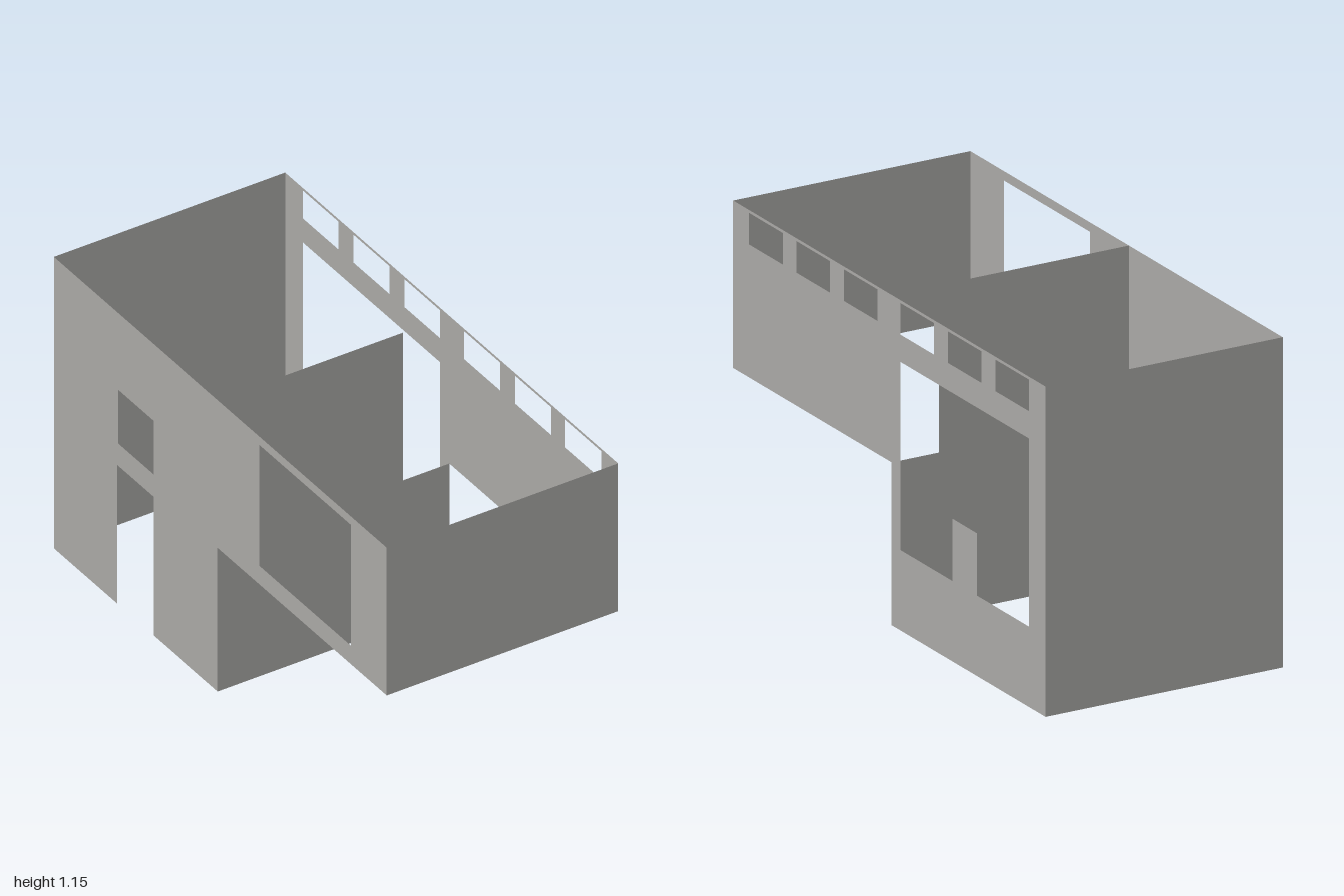
import * as THREE from 'three';

const HALF = 0.449;   // half the width of the house
const TOP = 1.15;     // wall top
const MID = 0.567;    // underside of the raised front half
const STEP = -0.015;  // z of the middle partition

const rect = (a, b, y0, y1) => [[a, y0], [b, y0], [b, y1], [a, y1]];

// Flat wall with holes, drawn in the XY plane
function panel(outline, holes = []) {
  const toPoints = (pts) => pts.map(([x, y]) => new THREE.Vector2(x, y));
  const shape = new THREE.Shape(toPoints(outline));
  for (const h of holes) shape.holes.push(new THREE.Path(toPoints(h)));
  return new THREE.ShapeGeometry(shape);
}

export function createModel() {
  const group = new THREE.Group();
  const plaster = new THREE.MeshStandardMaterial({ color: 0xa9a8a5, side: THREE.DoubleSide });
  plaster.name = 'warm grey plaster';

  const add = (name, geometry) => {
    const mesh = new THREE.Mesh(geometry, plaster);
    mesh.name = name;
    group.add(mesh);
  };
  // Side walls are drawn as (z, y) and turned to face sideways
  const addSide = (name, x, outline, holes) =>
    add(name, panel(outline, holes).rotateY(-Math.PI / 2).translate(x, 0, 0));
  const addCross = (name, z, outline) => add(name, panel(outline).translate(0, 0, z));

  // Left wall: row of high windows and a large opening with an upright tab on its sill
  const highWindows = [
    [0.68, 0.9], [0.38, 0.595], [0.075, 0.29],
    [-0.285, -0.07], [-0.59, -0.375], [-0.895, -0.68],
  ].map(([a, b]) => rect(a, b, 1.03, 1.14));
  const largeOpening = [
    [-0.895, 0.28], [-0.56, 0.28], [-0.56, 0.497], [-0.405, 0.497],
    [-0.405, 0.28], [-0.07, 0.28], [-0.07, 0.935], [-0.895, 0.935],
  ];
  addSide('leftWall', HALF,
    [[-1, 0], [STEP, 0], [STEP, MID], [1, MID], [1, TOP], [-1, TOP]],
    [...highWindows, largeOpening]);

  // Right wall: doorway notched from the ground, small window, big front window
  addSide('rightWall', -HALF,
    [[-1, 0], [-0.62, 0], [-0.62, 0.547], [-0.4, 0.547], [-0.4, 0],
      [STEP, 0], [STEP, MID], [1, MID], [1, TOP], [-1, TOP]],
    [rect(-0.615, -0.4, 0.635, 0.847), rect(0.235, 0.785, 0.64, 1.117)]);

  // Front and back walls
  addCross('frontWall', 1, rect(-HALF, HALF, MID, TOP));
  addCross('backWall', -1, rect(-HALF, HALF, 0, TOP));

  // Middle partition: full width below, with a passage beside it above
  addCross('partitionWall', STEP,
    [[-HALF, 0], [HALF, 0], [HALF, MID], [0.27, MID], [0.27, TOP], [-HALF, TOP]]);

  return group;
}
